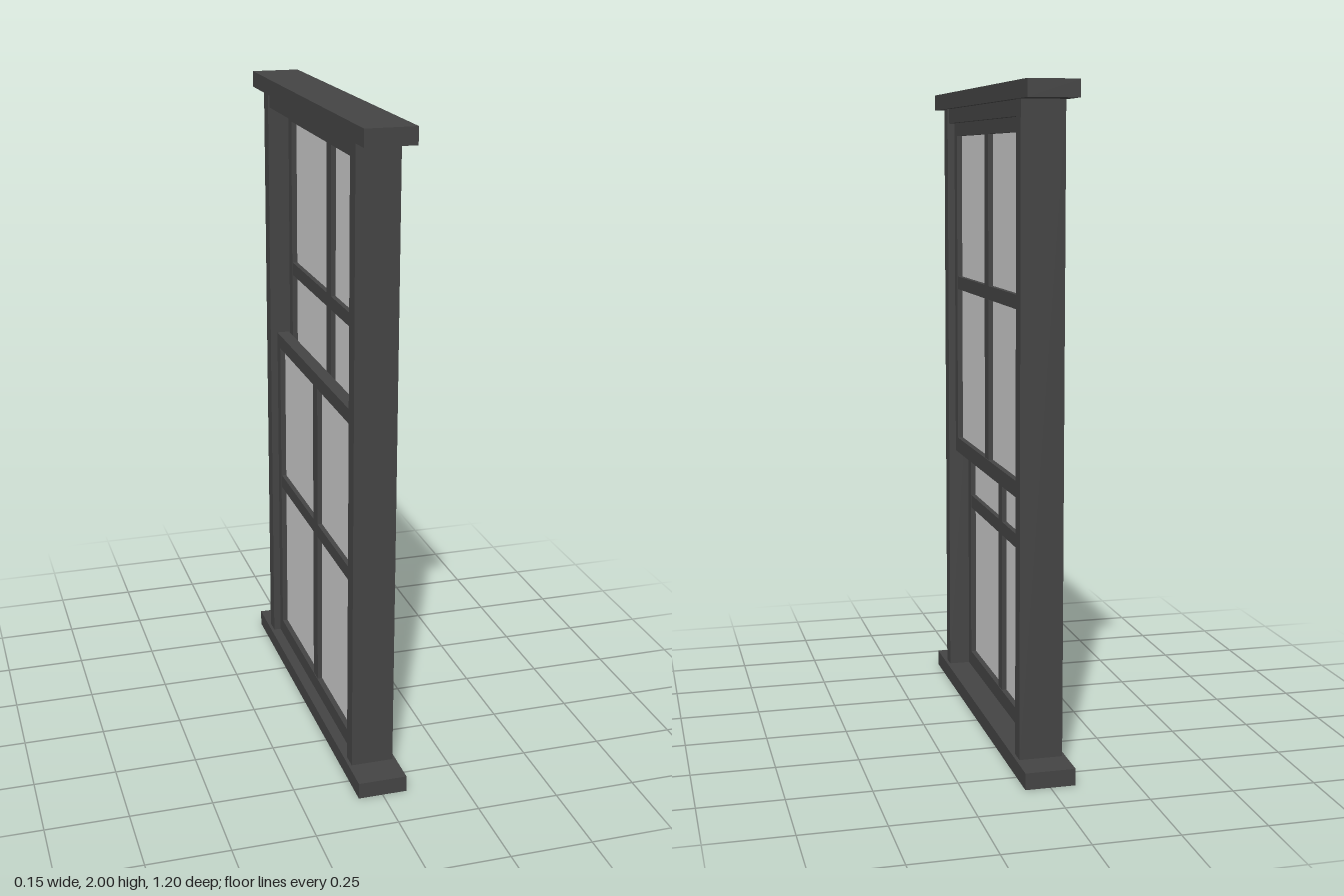
import * as THREE from 'three';

const frameMat = new THREE.MeshStandardMaterial({ color: 0x444444 });
const glassMat = new THREE.MeshStandardMaterial({ color: 0xcccccc });

// Box given by its limits on each axis
function box(parent, name, [x0, x1], [y0, y1], [z0, z1], mat = frameMat) {
  const mesh = new THREE.Mesh(new THREE.BoxGeometry(x1 - x0, y1 - y0, z1 - z0), mat);
  mesh.position.set((x0 + x1) / 2, (y0 + y1) / 2, (z0 + z1) / 2);
  mesh.name = name;
  parent.add(mesh);
}

// Sash with four panes: y lists the edges of bottom rail, cross bar and top rail
function sash(name, xs, y) {
  const g = new THREE.Group();
  g.name = name;
  const inner = 0.41, outer = 0.445;
  const mid = (xs[0] + xs[1]) / 2;
  const bar = [xs[0] + 0.002, xs[1] - 0.002];
  for (const s of [1, -1]) {
    const z = s > 0 ? [inner, outer] : [-outer, -inner];
    box(g, 'stile', xs, [y[0], y[5]], z);
  }
  box(g, 'bottomRail', xs, [y[0], y[1]], [-inner, inner]);
  box(g, 'topRail', xs, [y[4], y[5]], [-inner, inner]);
  box(g, 'crossBar', bar, [y[2], y[3]], [-inner, inner]);

  // Upright bars and panes above and below the cross bar
  for (const [a, b] of [[y[1], y[2]], [y[3], y[4]]]) {
    box(g, 'uprightBar', bar, [a, b], [-0.016, 0.032]);
    for (const z of [[-inner, -0.016], [0.032, inner]]) {
      box(g, 'glassPane', [mid - 0.003, mid + 0.003], [a, b], z, glassMat);
    }
  }
  return g;
}

export function createModel() {
  const model = new THREE.Group();
  model.name = 'sashWindow';

  // Outer frame
  box(model, 'sill', [-0.075, 0.075], [0, 0.05], [-0.6, 0.6]);
  box(model, 'lintel', [-0.075, 0.075], [1.95, 2], [-0.6, 0.6]);
  box(model, 'leftJamb', [-0.065, 0.065], [0.05, 1.95], [-0.495, -0.445]);
  box(model, 'rightJamb', [-0.065, 0.065], [0.05, 1.95], [0.445, 0.495]);
  box(model, 'head', [-0.06, 0.06], [1.904, 1.95], [-0.445, 0.445]);

  // Two sliding sashes on neighbouring tracks
  model.add(sash('upperSash', [0.002, 0.042], [0.805, 0.854, 1.358, 1.4, 1.862, 1.904]));
  model.add(sash('lowerSash', [-0.042, -0.002], [0.05, 0.1, 0.61, 0.653, 1.11, 1.155]));

  return model;
}
